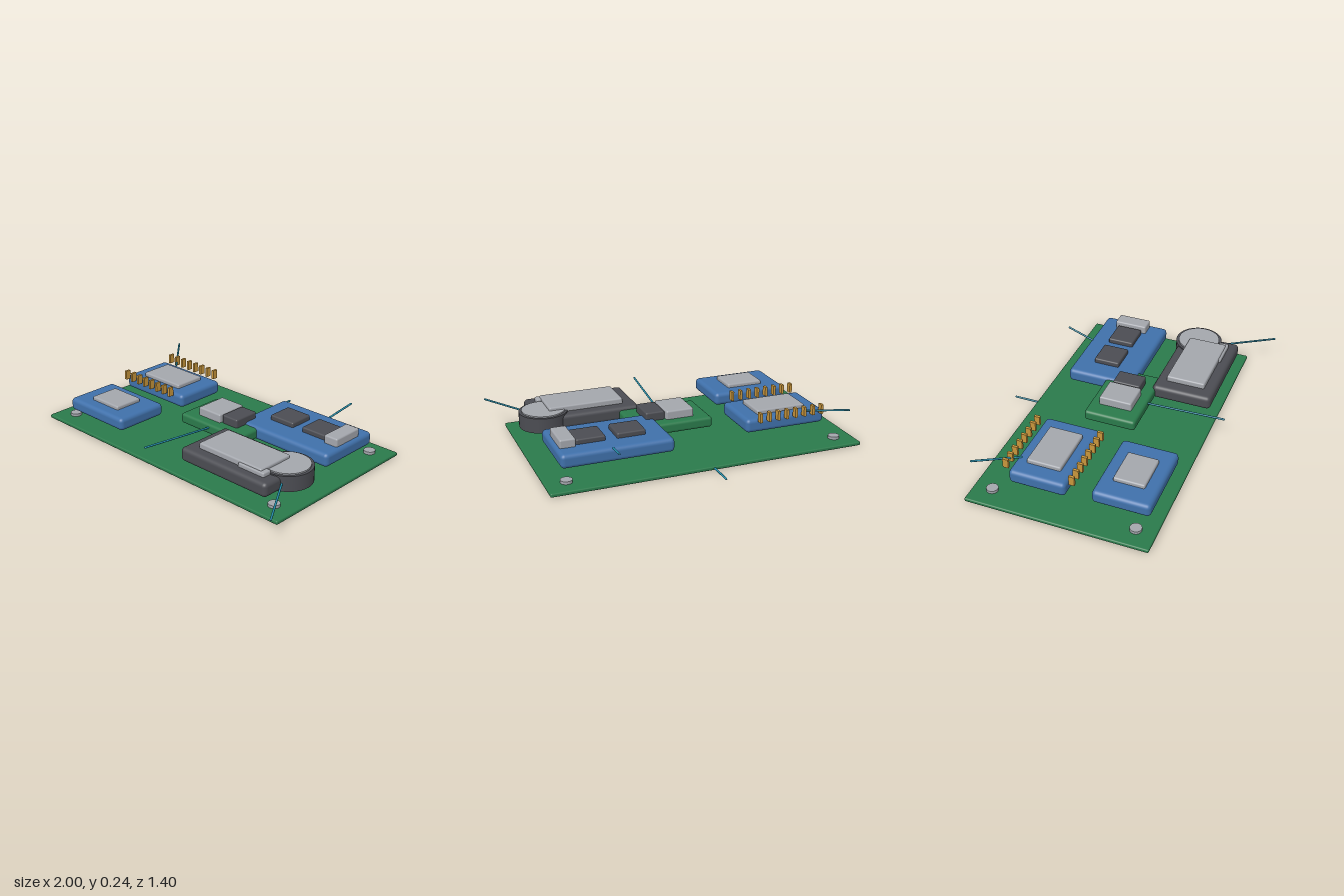
import * as THREE from 'three';
import { RoundedBoxGeometry } from 'three/addons/geometries/RoundedBoxGeometry.js';

const mat = (name, color) => {
  const m = new THREE.MeshStandardMaterial({ color });
  m.name = name;
  return m;
};

export function createModel() {
  const root = new THREE.Group();
  root.name = 'circuitBoard';
  const green = mat('boardGreen', 0x2a7a4b);
  const blue = mat('moduleBlue', 0x3f70aa);
  const dark = mat('chipDark', 0x4b4c52);
  const grey = mat('metalGrey', 0xa3a6ac);
  const gold = mat('pinGold', 0xc8963c);
  const teal = mat('wireTeal', 0x2590ad);

  const add = (name, geo, material, parent = root) => {
    const mesh = new THREE.Mesh(geo, material);
    mesh.name = name;
    parent.add(mesh);
    return mesh;
  };
  // rounded box given by its extents on each axis
  const box = (name, material, [x0, x1], [y0, y1], [z0, z1], r, parent) => {
    const geo = new RoundedBoxGeometry(x1 - x0, y1 - y0, z1 - z0, 3, r);
    geo.translate((x0 + x1) / 2, (y0 + y1) / 2, (z0 + z1) / 2);
    return add(name, geo, material, parent);
  };
  const disc = (name, material, x, z, r, y0, y1, parent) => {
    const geo = new THREE.CylinderGeometry(r, r, y1 - y0, 40);
    geo.translate(x, (y0 + y1) / 2, z);
    return add(name, geo, material, parent);
  };
  const group = (name) => {
    const g = new THREE.Group();
    g.name = name;
    root.add(g);
    return g;
  };

  // Base board and corner screws
  box('baseBoard', green, [-1, 0.905], [0.003, 0.026], [-0.545, 0.54], 0.008);
  for (const x of [-0.88, 0.785])
    for (const z of [-0.43, 0.425]) disc('cornerScrew', grey, x, z, 0.034, 0.02, 0.043);

  // Back left module with two rows of pins
  const pinned = group('pinModule');
  box('pinModuleBody', blue, [-0.86, -0.345], [0.095, 0.18], [-0.335, 0.005], 0.025, pinned);
  box('pinModuleShield', grey, [-0.76, -0.445], [0.165, 0.205], [-0.268, -0.062], 0.01, pinned);
  for (const z of [-0.362, 0.033])
    for (let i = 0; i < 8; i++) {
      const pin = add('headerPin', new THREE.BoxGeometry(0.016, 0.058, 0.034), gold, pinned);
      pin.position.set(-0.822 + i * 0.0577, 0.199, z);
    }

  // Front left module
  const small = group('smallModule');
  box('smallModuleBody', blue, [-0.842, -0.363], [0.095, 0.175], [0.15, 0.49], 0.025, small);
  box('smallModuleShield', grey, [-0.718, -0.485], [0.16, 0.198], [0.228, 0.413], 0.01, small);

  // Centre module
  const centre = group('centreModule');
  box('centreModuleBody', green, [-0.2, 0.285], [0.098, 0.163], [-0.165, 0.155], 0.018, centre);
  box('centreShield', grey, [-0.102, 0.072], [0.155, 0.215], [-0.107, 0.097], 0.01, centre);
  box('centreChip', dark, [0.077, 0.195], [0.155, 0.215], [-0.09, 0.082], 0.01, centre);

  // Back right module
  const wide = group('wideModule');
  box('wideModuleBody', blue, [0.138, 0.805], [0.091, 0.175], [-0.413, 0.008], 0.025, wide);
  for (const x of [0.27, 0.51])
    box('wideModuleChip', dark, [x, x + 0.173], [0.165, 0.205], [-0.293, -0.131], 0.01, wide);
  box('connector', grey, [0.69, 0.783], [0.165, 0.224], [-0.315, -0.107], 0.01, wide);

  // Front right module with display and round cell
  const display = group('displayModule');
  box('displayBody', dark, [0.155, 0.79], [0.097, 0.183], [0.135, 0.505], 0.025, display);
  box('display', grey, [0.24, 0.702], [0.175, 0.217], [0.2, 0.44], 0.01, display);
  box('displayTab', grey, [0.545, 0.73], [0.175, 0.207], [0.39, 0.452], 0.008, display);
  disc('cellHolder', dark, 0.727, 0.252, 0.147, 0.098, 0.19, display);
  disc('cell', grey, 0.727, 0.252, 0.13, 0.18, 0.198, display);

  // Loose wires
  const wires = [
    [[-0.725, 0.18, -0.31], [-0.915, 0.234, -0.525]],
    [[-0.048, 0.0145, -0.4], [-0.048, 0.0145, -0.695]],
    [[0.5, 0.165, -0.385], [0.528, 0.211, -0.578]],
    [[0.035, 0.14, 0.15], [0.01, 0.176, 0.635]],
    [[0.78, 0.142, 0.355], [0.992, 0.142, 0.692]],
  ];
  for (const [a, b] of wires) {
    const path = new THREE.LineCurve3(new THREE.Vector3(...a), new THREE.Vector3(...b));
    const wire = add('wire', new THREE.TubeGeometry(path, 1, 0.006, 8), teal);
    // end cap at the free tip
    const cap = add('wireTip', new THREE.SphereGeometry(0.006, 8, 6), teal, wire);
    cap.position.set(...b);
  }
  return root;
}
